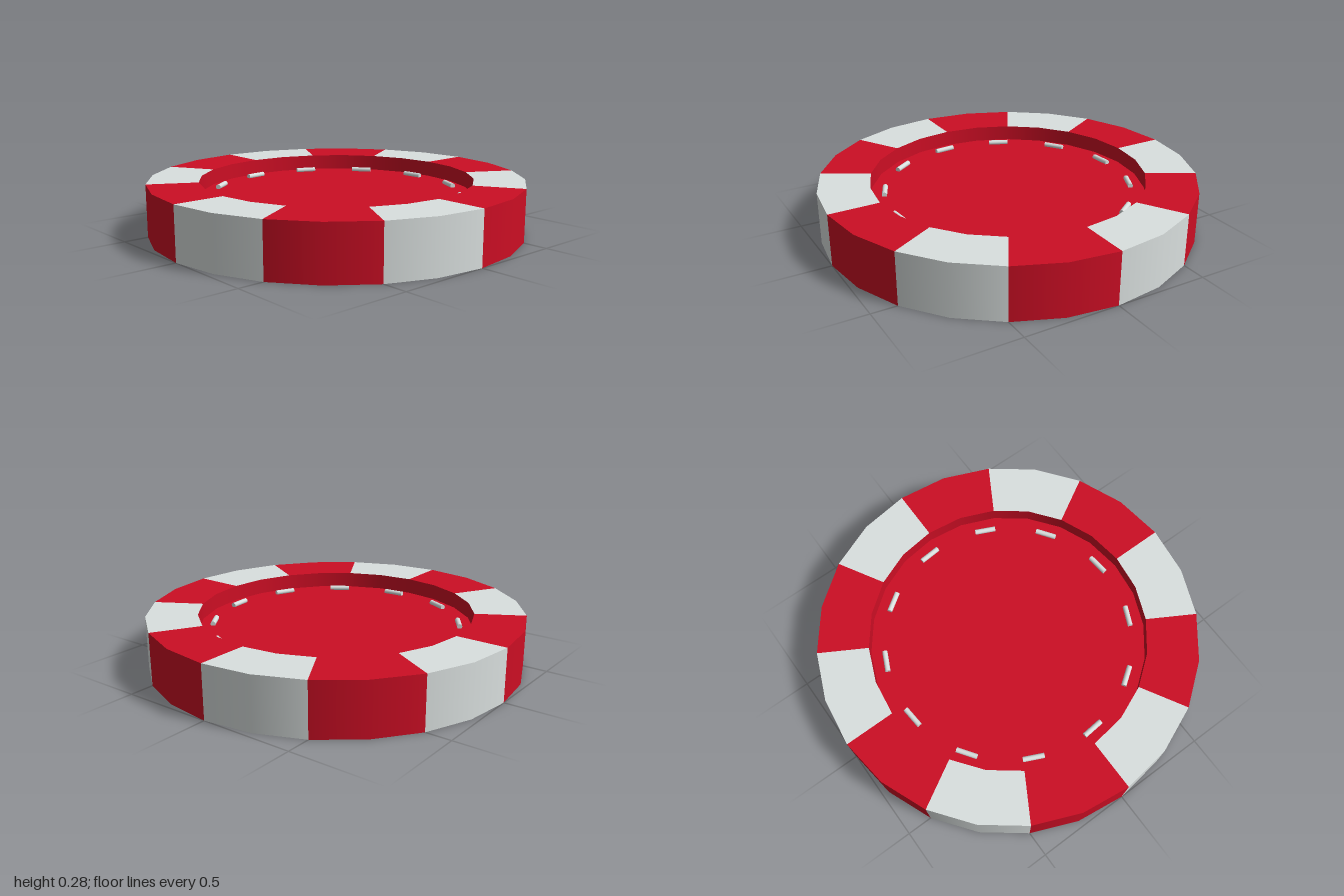
import * as THREE from 'three';
import { mergeGeometries } from 'three/addons/utils/BufferGeometryUtils.js';

const OUTER = 1, INNER = 0.73, HEIGHT = 0.28, RECESS = 0.084;
const SECTORS = 12, STEP = (Math.PI * 2) / SECTORS;

// Revolves one straight profile edge, so each surface keeps crisp borders
function band(r0, y0, r1, y1, segments, start = 0, sweep = Math.PI * 2) {
  const points = [new THREE.Vector2(r0, y0), new THREE.Vector2(r1, y1)];
  return new THREE.LatheGeometry(points, segments, start, sweep);
}

export function createModel() {
  const model = new THREE.Group();
  const red = new THREE.MeshStandardMaterial({ color: 0xcc0e24 });
  red.name = 'red';
  const white = new THREE.MeshStandardMaterial({ color: 0xdae0df });
  white.name = 'pale grey';

  const add = (name, geometry, material, parent = model) => {
    const mesh = new THREE.Mesh(geometry, material);
    mesh.name = name;
    parent.add(mesh);
    return mesh;
  };

  // Rim: alternating coloured sectors, two facets each
  const rim = new THREE.Group();
  rim.name = 'rim';
  model.add(rim);
  for (let i = 0; i < SECTORS; i++) {
    const start = i * STEP;
    const sector = mergeGeometries([
      band(INNER, 0, OUTER, 0, 2, start, STEP),
      band(OUTER, 0, OUTER, HEIGHT, 2, start, STEP),
      band(OUTER, HEIGHT, INNER, HEIGHT, 2, start, STEP),
    ]);
    add('rimSector', sector, i % 2 ? red : white, rim);
  }

  // Recess walls above and below the centre plate
  add('upperRecessWall', band(INNER, HEIGHT, INNER, HEIGHT - RECESS, 24), red);
  add('lowerRecessWall', band(INNER, RECESS, INNER, 0, 24), red);

  // Centre plate
  const plate = add('centrePlate', new THREE.CylinderGeometry(INNER, INNER, HEIGHT - 2 * RECESS, 24), red);
  plate.position.y = HEIGHT / 2;

  // Ring of small rods lying on the upper face
  const rods = new THREE.Group();
  rods.name = 'rods';
  model.add(rods);
  const rodGeometry = new THREE.CylinderGeometry(0.014, 0.014, 0.112, 12).rotateZ(Math.PI / 2);
  for (let i = 0; i < SECTORS; i++) {
    const angle = i * STEP + THREE.MathUtils.degToRad(5);
    const rod = add('rod', rodGeometry, white, rods);
    rod.position.set(Math.sin(angle) * 0.655, HEIGHT - RECESS + 0.009, Math.cos(angle) * 0.655);
    rod.rotation.y = angle;
  }
  return model;
}
